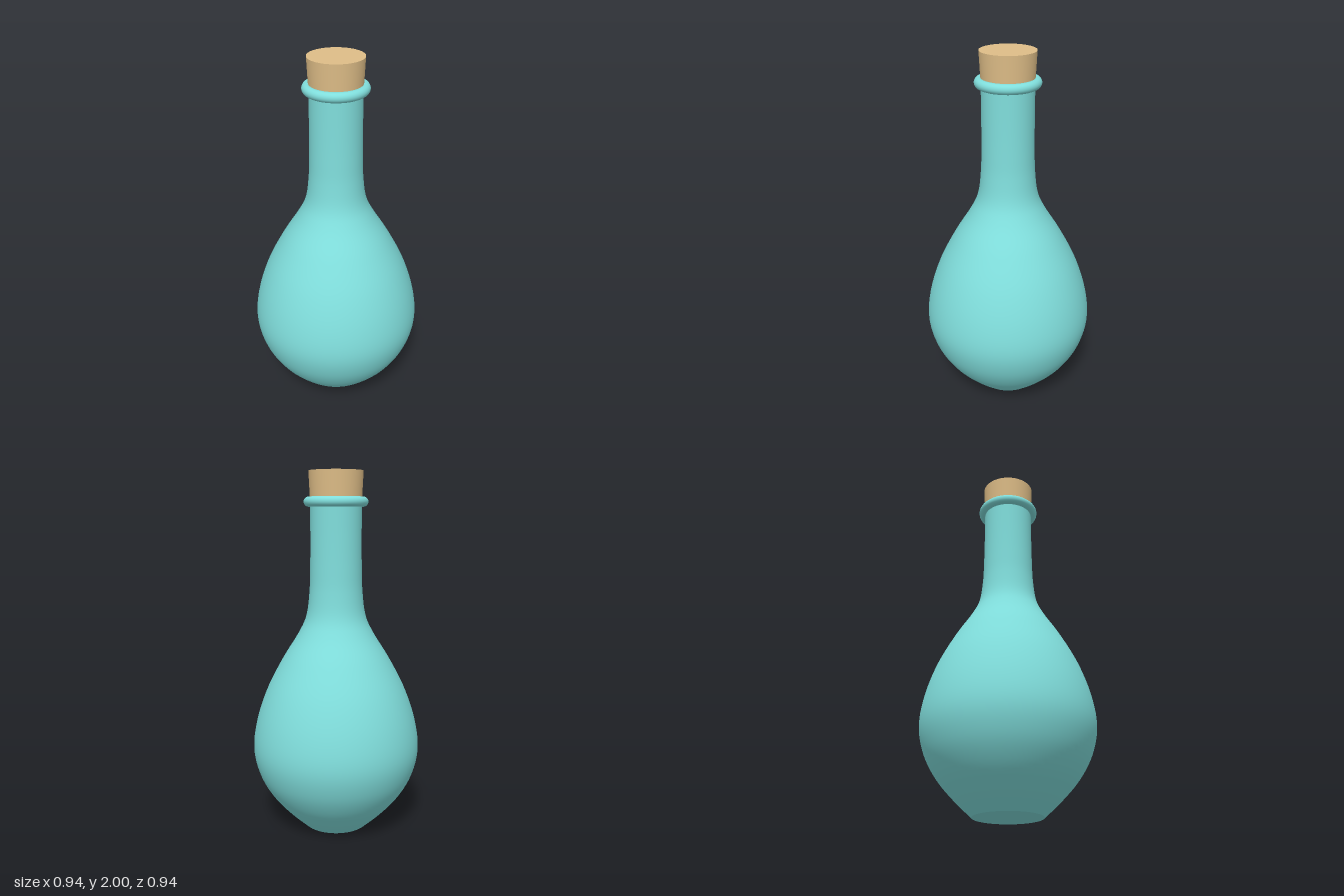
import * as THREE from 'three';

function material(name, color) {
  const m = new THREE.MeshStandardMaterial({ color });
  m.name = name;
  return m;
}

function part(name, geometry, mat, y = 0) {
  const mesh = new THREE.Mesh(geometry, mat);
  mesh.name = name;
  mesh.position.y = y;
  return mesh;
}

export function createModel() {
  const glass = material('teal glass', 0x80dedc);
  const corkMat = material('cork', 0xdebd87);
  const group = new THREE.Group();
  group.name = 'bottle';

  // Smooth profile of belly, shoulder and neck (radius, height)
  const profile = new THREE.SplineCurve([
    [0.185, 0], [0.285, 0.095], [0.375, 0.2], [0.44, 0.32], [0.47, 0.46],
    [0.45, 0.62], [0.39, 0.8], [0.3, 0.975], [0.21, 1.12], [0.165, 1.22],
    [0.147, 1.35], [0.142, 1.48], [0.14, 1.65], [0.14, 1.835],
  ].map(([r, y]) => new THREE.Vector2(r, y)));
  group.add(part('body', new THREE.LatheGeometry(profile.getPoints(70), 96), glass));

  // Flat underside
  const base = new THREE.CircleGeometry(0.185, 96);
  base.rotateX(Math.PI / 2);
  group.add(part('base', base, glass));

  // Rounded lip around the mouth
  const lip = new THREE.TorusGeometry(0.148, 0.027, 20, 96);
  lip.rotateX(Math.PI / 2);
  group.add(part('lip', lip, glass, 1.837));

  // Slightly tapered stopper
  group.add(part('stopper', new THREE.CylinderGeometry(0.148, 0.138, 0.2, 96), corkMat, 1.9));

  return group;
}
